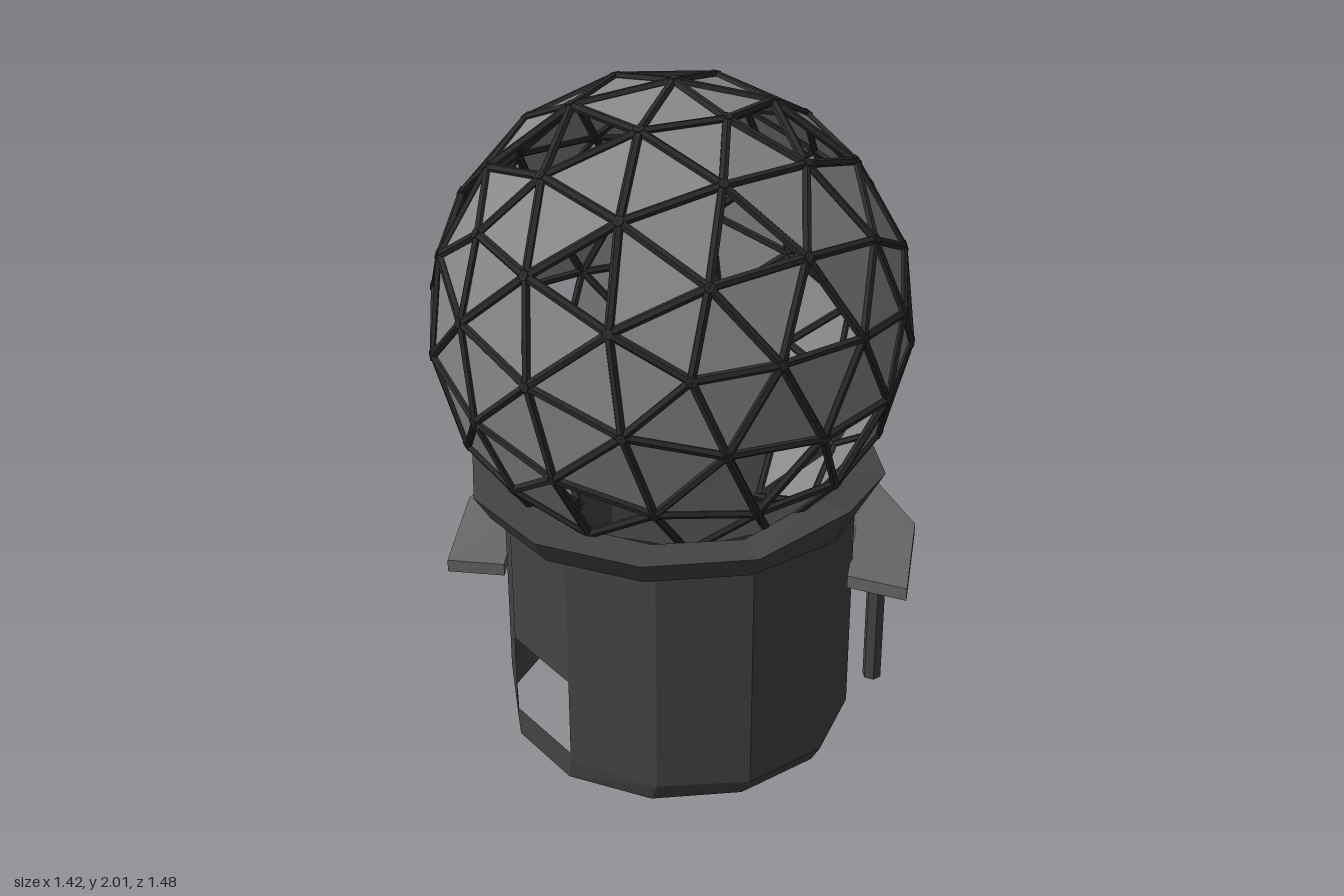
import * as THREE from 'three';
import { mergeGeometries } from 'three/addons/utils/BufferGeometryUtils.js';

const V = (x, y, z) => new THREE.Vector3(x, y, z);
const mat = (color) => new THREE.MeshStandardMaterial({ color, flatShading: true, side: THREE.DoubleSide });

function mesh(name, geometry, material) {
  const m = new THREE.Mesh(geometry, material);
  m.name = name;
  return m;
}

// Flat triangles from a list of points, three per face
function fromPoints(points) {
  const g = new THREE.BufferGeometry().setFromPoints(points);
  g.computeVertexNormals();
  return g;
}

const quad = (out, a, b, c, d) => out.push(a, b, c, a, c, d);

// Skin a row of closed cross-sections; a looped row joins its ends, an open one is capped
function loft(sections, looped) {
  const out = [], n = sections.length, k = sections[0].length;
  for (let i = 0; i < (looped ? n : n - 1); i++) {
    const s = sections[i], t = sections[(i + 1) % n];
    for (let j = 0; j < k; j++) quad(out, s[j], s[(j + 1) % k], t[(j + 1) % k], t[j]);
  }
  if (!looped) {
    const [a, b] = [sections[0], sections[n - 1]];
    quad(out, a[3], a[2], a[1], a[0]);
    quad(out, b[0], b[1], b[2], b[3]);
  }
  return fromPoints(out);
}

// Directions of the missing panels, before the dome is tilted
const OPENINGS = [
  [-0.202, 0.923, -0.228], [0.553, 0.786, -0.176], [0.57, 0.695, -0.368],
  [0.202, 0.84, 0.446], [0, 0.798, 0.554], [-0.369, 0.57, 0.695],
  [0.369, -0.57, 0.695], [0.519, 0.394, 0.721], [0.964, 0.119, 0],
  [0.84, 0.445, 0.202], [0.84, -0.445, 0.202], [0.84, -0.445, -0.202],
  [0.798, -0.554, 0], [-0.84, 0.445, 0.202], [-0.84, 0.445, -0.202],
  [-0.964, -0.119, 0], [0.109, 0.377, -0.895], [0.228, 0.202, -0.923],
].map((d) => V(...d).normalize());

function createDome(panelMat, strutMat) {
  const R = 0.685, centre = V(0.025, 1.31, 0.055), tilt = 0.1815, zAxis = V(0, 0, 1);
  const pos = new THREE.IcosahedronGeometry(1, 2).toNonIndexed ? new THREE.IcosahedronGeometry(1, 2).attributes.position : null;
  const panels = [], struts = [], hubs = new Set(), seen = new Set();
  const key = (p) => p.toArray().map((v) => Math.round(v * 500)).join();
  const place = (p) => p.clone().applyAxisAngle(zAxis, tilt).multiplyScalar(R).add(centre);

  for (let i = 0; i < pos.count; i += 3) {
    const local = [0, 1, 2].map((j) => V(0, 0, 0).fromBufferAttribute(pos, i + j));
    const tri = local.map(place);
    // Drop the underside, which sits inside the drum
    if ((tri[0].y + tri[1].y + tri[2].y) / 3 < 0.74) continue;
    const dir = V(0, 0, 0).add(local[0]).add(local[1]).add(local[2]).normalize();
    if (!OPENINGS.some((o) => o.dot(dir) > 0.993)) panels.push(...tri);
    for (let j = 0; j < 3; j++) {
      const a = tri[j], b = tri[(j + 1) % 3];
      const id = [key(a), key(b)].sort().join('|');
      if (seen.has(id)) continue;
      seen.add(id);
      // Strut along each shared edge
      const g = new THREE.CylinderGeometry(0.013, 0.013, a.distanceTo(b), 6);
      g.applyQuaternion(new THREE.Quaternion().setFromUnitVectors(V(0, 1, 0), b.clone().sub(a).normalize()));
      const mid = a.clone().lerp(b, 0.5);
      struts.push(g.translate(mid.x, mid.y, mid.z));
      // Small hub at each joint
      for (const p of [a, b]) {
        if (hubs.has(key(p))) continue;
        hubs.add(key(p));
        struts.push(new THREE.CylinderGeometry(0.015, 0.015, 0.024, 6).toNonIndexed()
          .applyQuaternion(new THREE.Quaternion().setFromUnitVectors(V(0, 1, 0), p.clone().sub(centre).normalize()))
          .translate(p.x, p.y, p.z));
      }
    }
  }
  const dome = new THREE.Group();
  dome.name = 'dome';
  dome.add(mesh('domePanels', fromPoints(panels), panelMat));
  dome.add(mesh('domeStruts', mergeGeometries(struts.map((g) => (g.index ? g.toNonIndexed() : g))), strutMat));
  return dome;
}

const SIDES = 12;
const around = (i, rx, rz, y) => {
  const a = ((i + 0.5) / SIDES) * Math.PI * 2;
  return V(0.05 + rx * Math.sin(a), y, 0.055 + rz * Math.cos(a));
};

// Open twelve-sided wall with a low doorway in the front facet
function createDrum() {
  const out = [];
  const levels = [[0, 0.515], [0.06, 0.554], [0.09, 0.554], [0.34, 0.554], [0.78, 0.554]];
  for (let i = 0; i < SIDES; i++) {
    for (let j = 0; j < levels.length - 1; j++) {
      const [y0, r0] = levels[j], [y1, r1] = levels[j + 1];
      if (i === SIDES - 1 && j === 2) continue;
      quad(out, around(i, r0, 0.512, y0), around(i + 1, r0, 0.512, y0),
        around(i + 1, r1, 0.512, y1), around(i, r1, 0.512, y1));
    }
  }
  return fromPoints(out);
}

// Flared collar, lifted a little on one side
function createCollar() {
  const sections = [];
  for (let i = 0; i < SIDES; i++) {
    const p = around(i, 0.62, 0.62, 0);
    const lift = p.x > 0.3 && p.z > -0.3 && p.z < 0.1 ? 0.038 : 0;
    sections.push([
      around(i, 0.5, 0.49, 0.77), around(i, 0.565, 0.575, 0.77),
      around(i, 0.612, 0.622, 0.845 + lift), around(i, 0.5, 0.49, 0.845 + lift),
    ]);
  }
  return loft(sections, true);
}

// Walkway wrapping round the back and sloping down at one end
function createDeck() {
  const rim = [
    [0.665, 0.565, -0.32], [0.4, 0.565, -0.6], [0.04, 0.538, -0.74], [-0.33, 0.56, -0.61],
    [-0.655, 0.575, -0.35], [-0.71, 0.6, 0.02], [-0.62, 0.53, 0.38], [-0.48, 0.425, 0.55],
  ];
  const inner = (v, c) => c + (v - c) * 0.75;
  return loft(rim.map(([x, y, z]) => {
    const ix = inner(x, 0.03), iz = inner(z, 0.04), yi = Math.max(y, y > 0.53 ? 0.56 : y);
    return [V(x, y, z), V(x, y - 0.04, z), V(ix, yi - 0.04, iz), V(ix, yi, iz)];
  }), false);
}

export function createModel() {
  const model = new THREE.Group();
  const panelMat = mat(0x888888), strutMat = mat(0x2a2a2a);
  const wallMat = mat(0x444444), deckMat = mat(0x666666);

  model.add(createDome(panelMat, strutMat));
  model.add(mesh('drumWall', createDrum(), wallMat));
  model.add(mesh('collar', createCollar(), wallMat));
  model.add(mesh('walkway', createDeck(), deckMat));

  // Posts under the walkway: x, z, foot height, top height
  for (const [x, z, y0, y1] of [
    [0.42, -0.43, 0.09, 0.54], [-0.15, -0.605, 0.06, 0.53],
    [-0.605, -0.28, 0.09, 0.55], [-0.56, 0.25, 0.04, 0.54],
  ]) {
    const post = mesh('walkwayPost', new THREE.CylinderGeometry(0.029, 0.029, y1 - y0, 6), wallMat);
    post.position.set(x, (y0 + y1) / 2, z);
    model.add(post);
  }
  return model;
}
